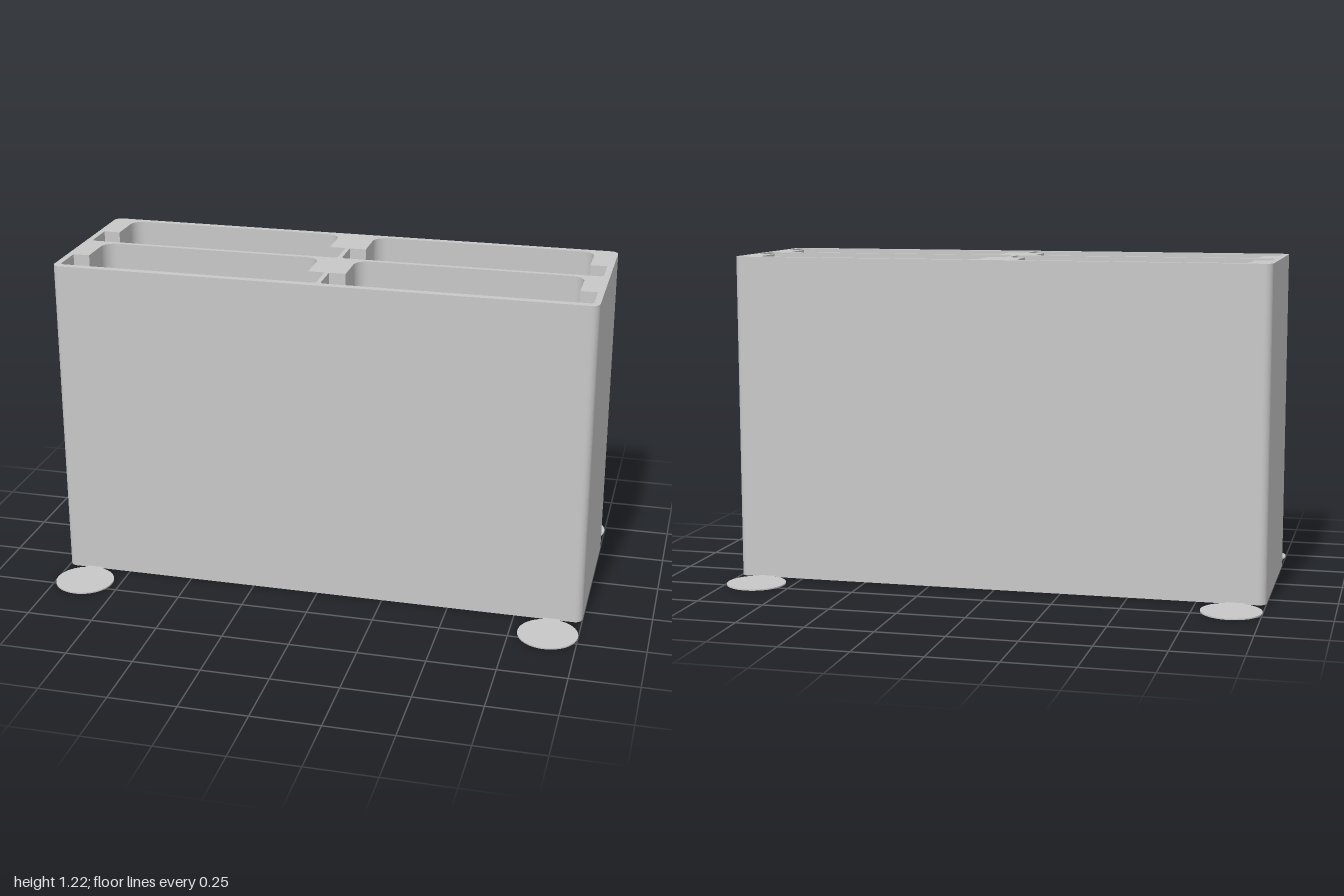
import * as THREE from 'three';

const HEIGHT = 1.217, ROW_PITCH = 0.322;

// Closed path through [x, z, cornerRadius] points, with circular corners
function roundedPath(path, points) {
  const n = points.length;
  points.forEach(([x, z, r], i) => {
    const corner = new THREE.Vector2(x, -z);
    const toward = ([px, pz], d) =>
      new THREE.Vector2(px, -pz).sub(corner).setLength(d).add(corner);
    const before = points[(i + n - 1) % n], after = points[(i + 1) % n];
    const a = toward(before, r), b = toward(after, r);
    if (i === 0) path.moveTo(a.x, a.y);
    else path.lineTo(a.x, a.y);
    if (r > 0) {
      const c = toward(before, r * 0.448), d = toward(after, r * 0.448);
      path.bezierCurveTo(c.x, c.y, d.x, d.y, b.x, b.y);
    }
  });
  path.closePath();
  return path;
}

// Stepped slot: narrow at the back, wide at the front
function slotPath(cx, dz) {
  const back = -0.313 + dz, step = -0.142 + dz, front = -0.011 + dz;
  const narrow = 0.4225, wide = 0.4845;
  return roundedPath(new THREE.Path(), [
    [cx - narrow, back, 0.05], [cx + narrow, back, 0.05],
    [cx + narrow, step, 0], [cx + wide, step, 0],
    [cx + wide, front, 0.014], [cx - wide, front, 0.014],
    [cx - wide, step, 0], [cx - narrow, step, 0],
  ]);
}

export function createModel() {
  const model = new THREE.Group();
  const grey = new THREE.MeshStandardMaterial({ color: 0xc8c8c8 });
  grey.name = 'plain grey';

  const add = (name, geometry, x = 0, y = 0, z = 0) => {
    const mesh = new THREE.Mesh(geometry, grey);
    mesh.name = name;
    mesh.position.set(x, y, z);
    model.add(mesh);
  };

  // Block with four slots open at the top and bottom; the outline runs
  // counter-clockwise and the slots clockwise so all walls face outward
  const outline = roundedPath(new THREE.Shape(), [
    [-1, 0.34, 0.03], [1, 0.34, 0.03], [1, -0.34, 0.03], [-1, -0.34, 0.03],
  ]);
  for (const cx of [-0.4925, 0.4925])
    for (const dz of [0, ROW_PITCH]) outline.holes.push(slotPath(cx, dz));
  const body = new THREE.ExtrudeGeometry(outline, {
    depth: HEIGHT, bevelEnabled: false, curveSegments: 16,
  });
  body.rotateX(-Math.PI / 2);
  add('slottedBody', body);

  // Ledges with a sloped underside on the front wall of each slot
  const profile = new THREE.Shape([[0, 0.15], [0.066, 0.28], [0.066, 0.3], [0, 0.3]]
    .map(([out, y]) => new THREE.Vector2(out, y)));
  const ledge = new THREE.ExtrudeGeometry(profile, { depth: 0.615, bevelEnabled: false });
  ledge.translate(0, 0, -0.3075);
  ledge.rotateY(Math.PI / 2);
  for (const cx of [-0.4925, 0.4925])
    for (const dz of [0, ROW_PITCH]) add('slotLedge', ledge, cx, 0, -0.01 + dz);

  // Thin corner discs joined to the block by short tabs
  const disc = new THREE.CylinderGeometry(0.11, 0.11, 0.005, 64);
  const tab = new THREE.BoxGeometry(0.064, 0.005, 0.03);
  for (const sx of [-1, 1]) {
    for (const sz of [-1, 1]) {
      add('cornerDisc', disc, sx * 0.89, 0.0025, sz * 0.456);
      add('discTab', tab, sx * 0.89, 0.0025, sz * 0.35);
    }
  }
  return model;
}
